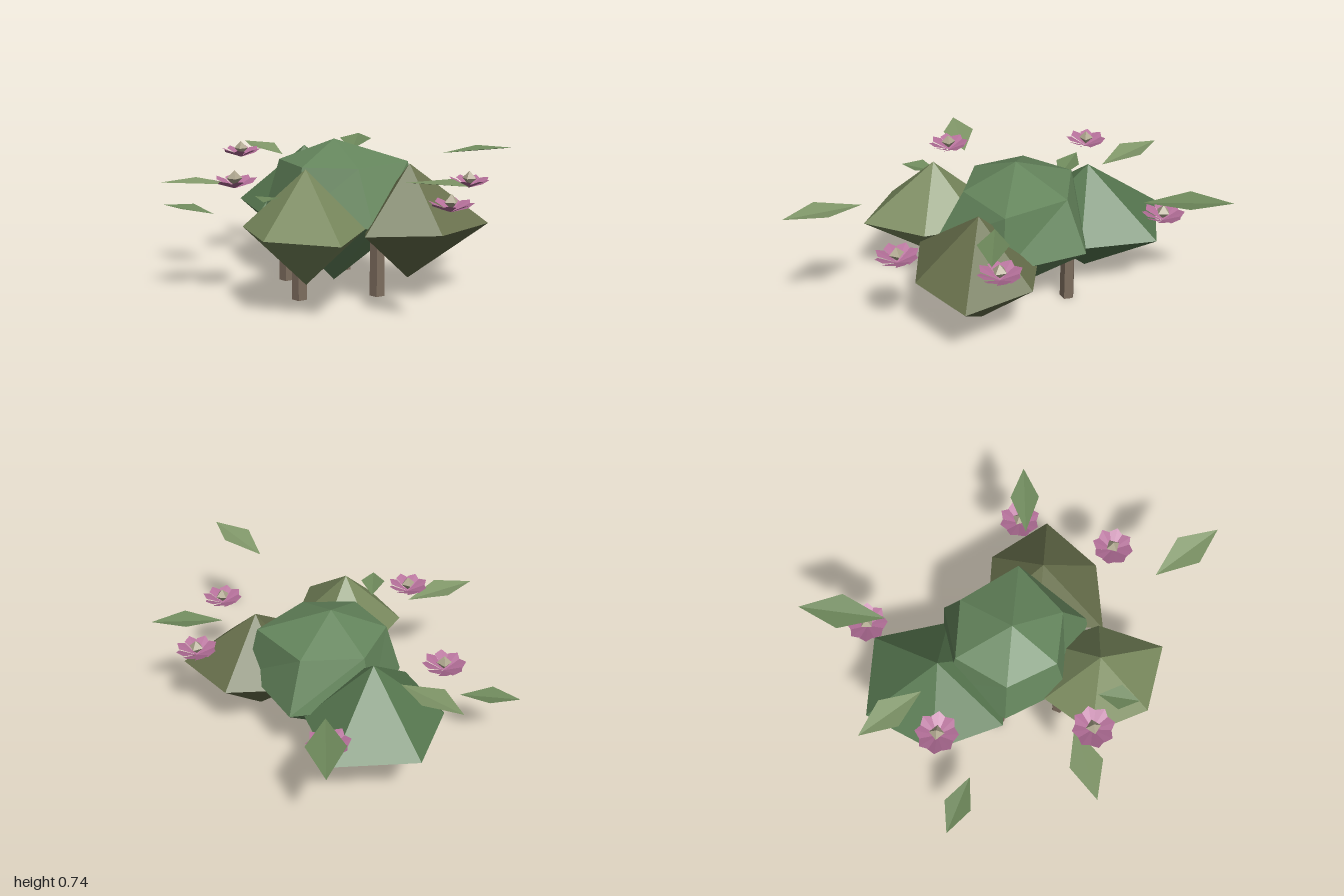
import * as THREE from 'three';

const mat = (color, side = THREE.FrontSide) =>
  new THREE.MeshStandardMaterial({ color, flatShading: true, side });

function trianglesMesh(name, points, material) {
  const geometry = new THREE.BufferGeometry();
  geometry.setAttribute('position', new THREE.Float32BufferAttribute(points.flat(), 3));
  geometry.computeVertexNormals();
  const mesh = new THREE.Mesh(geometry, material);
  mesh.name = name;
  return mesh;
}

// Six-sided lump: a stack of uneven rings closed by a point at top and bottom
function foliage({ name, color, x, z, top, bottom, rings }) {
  const tip = new Array(6).fill(0);
  const stack = [{ y: top, r: tip }, ...rings, { y: bottom, r: tip }];
  const at = (k, i) => {
    const a = (i * Math.PI) / 3, r = stack[k].r[i % 6];
    return [x + r * Math.cos(a), stack[k].y, z + r * Math.sin(a)];
  };
  const points = [];
  for (let k = 0; k + 1 < stack.length; k++) {
    for (let i = 0; i < 6; i++) {
      if (k + 2 < stack.length) points.push(at(k, i), at(k + 1, i + 1), at(k + 1, i));
      if (k > 0) points.push(at(k, i), at(k, i + 1), at(k + 1, i + 1));
    }
  }
  return trianglesMesh(name, points, mat(color));
}

// Kite-shaped leaf folded along its midrib
function leaf(base, tip, width, color) {
  const a = new THREE.Vector3(...base), b = new THREE.Vector3(...tip);
  const side = new THREE.Vector3(a.z - b.z, 0, b.x - a.x).setLength(width / 2);
  const middle = a.clone().lerp(b, 0.52).add(new THREE.Vector3(0, 0.015, 0));
  const l = middle.clone().sub(side).toArray(), r = middle.clone().add(side).toArray();
  return trianglesMesh('leaf', [base, tip, l, base, r, tip], mat(color, THREE.DoubleSide));
}

// Shallow cup of overlapping petals around a pointed centre
function flower(x, y, z, turn) {
  const group = new THREE.Group();
  group.name = 'flower';
  const points = [], count = 8;
  for (let i = 0; i < count; i++) {
    const a = (i / count) * Math.PI * 2;
    const p = (r, da, h) => [r * Math.cos(a + da), h, r * Math.sin(a + da)];
    const root = [0, -0.035, 0], end = p(0.103, 0, 0.012);
    const l = p(0.085, -0.42, 0.004), r = p(0.085, 0.42, -0.006);
    points.push(root, end, l, root, r, end);
  }
  group.add(trianglesMesh('petals', points, mat(0xb5709a, THREE.DoubleSide)));
  const centre = new THREE.Mesh(new THREE.OctahedronGeometry(0.036), mat(0xb0a890));
  centre.name = 'flowerCentre';
  centre.position.y = 0.012;
  group.add(centre);
  group.position.set(x, y, z);
  group.rotation.y = turn;
  return group;
}

export function createModel() {
  const model = new THREE.Group();
  model.name = 'floweringBush';

  // Foliage lumps; radii run round from +x towards +z
  [
    { name: 'centreFoliage', color: 0x64855c, x: 0.03, z: 0.04, top: 0.735, bottom: 0.02,
      rings: [{ y: 0.63, r: [0.36, 0.27, 0.26, 0.27, 0.295, 0.305] },
        { y: 0.375, r: [0.42, 0.43, 0.33, 0.345, 0.365, 0.42] }] },
    { name: 'frontFoliage', color: 0x7a8a5e, x: -0.06, z: 0.465, top: 0.66, bottom: 0.12,
      rings: [{ y: 0.39, r: [0.27, 0.374, 0.305, 0.29, 0.28, 0.3] }] },
    { name: 'leftFoliage', color: 0x68704c, x: 0.4, z: 0.16, top: 0.64, bottom: 0.077,
      rings: [{ y: 0.358, r: [0.378, 0.315, 0.38, 0.2, 0.3, 0.31] }] },
    { name: 'backFoliage', color: 0x577850, x: -0.155, z: -0.295, top: 0.648, bottom: 0.055,
      rings: [{ y: 0.355, r: [0.325, 0.35, 0.378, 0.345, 0.4, 0.417] }] },
  ].forEach((lump) => model.add(foliage(lump)));

  // Stems
  [[0.255, 0.21], [-0.11, 0.305], [0.06, -0.225], [-0.215, -0.01]].forEach(([x, z]) => {
    const stem = new THREE.Mesh(new THREE.CylinderGeometry(0.036, 0.038, 0.4, 5), mat(0x7d6d5e));
    stem.name = 'stem';
    stem.position.set(x, 0.2, z);
    model.add(stem);
  });

  // Flowers
  [[-0.485, 0.62, -0.26], [-0.385, 0.6, 0.455], [0.59, 0.52, 0.5],
    [0.065, 0.52, -0.675], [0.69, 0.535, 0.02]]
    .forEach(([x, y, z], i) => model.add(flower(x, y, z, i * 0.3)));

  // Loose leaves: base, tip, width
  [
    [[0.075, 0.58, -0.58], [0.083, 0.61, -1.0], 0.18],
    [[-0.28, 0.585, -0.36], [-0.53, 0.615, -0.62], 0.16],
    [[-0.605, 0.31, -0.105], [-0.89, 0.335, -0.185], 0.135],
    [[-0.38, 0.565, 0.37], [-0.72, 0.593, 0.495], 0.16],
    [[0.555, 0.675, 0.06], [0.89, 0.7, 0.02], 0.14],
    [[0.39, 0.655, 0.705], [0.64, 0.7, 0.99], 0.165],
    [[-0.2, 0.53, 0.475], [-0.22, 0.55, 0.67], 0.125],
  ].forEach(([base, tip, width], i) =>
    model.add(leaf(base, tip, width, [0x6f8a5c, 0x82996a][i % 2])));

  return model;
}
